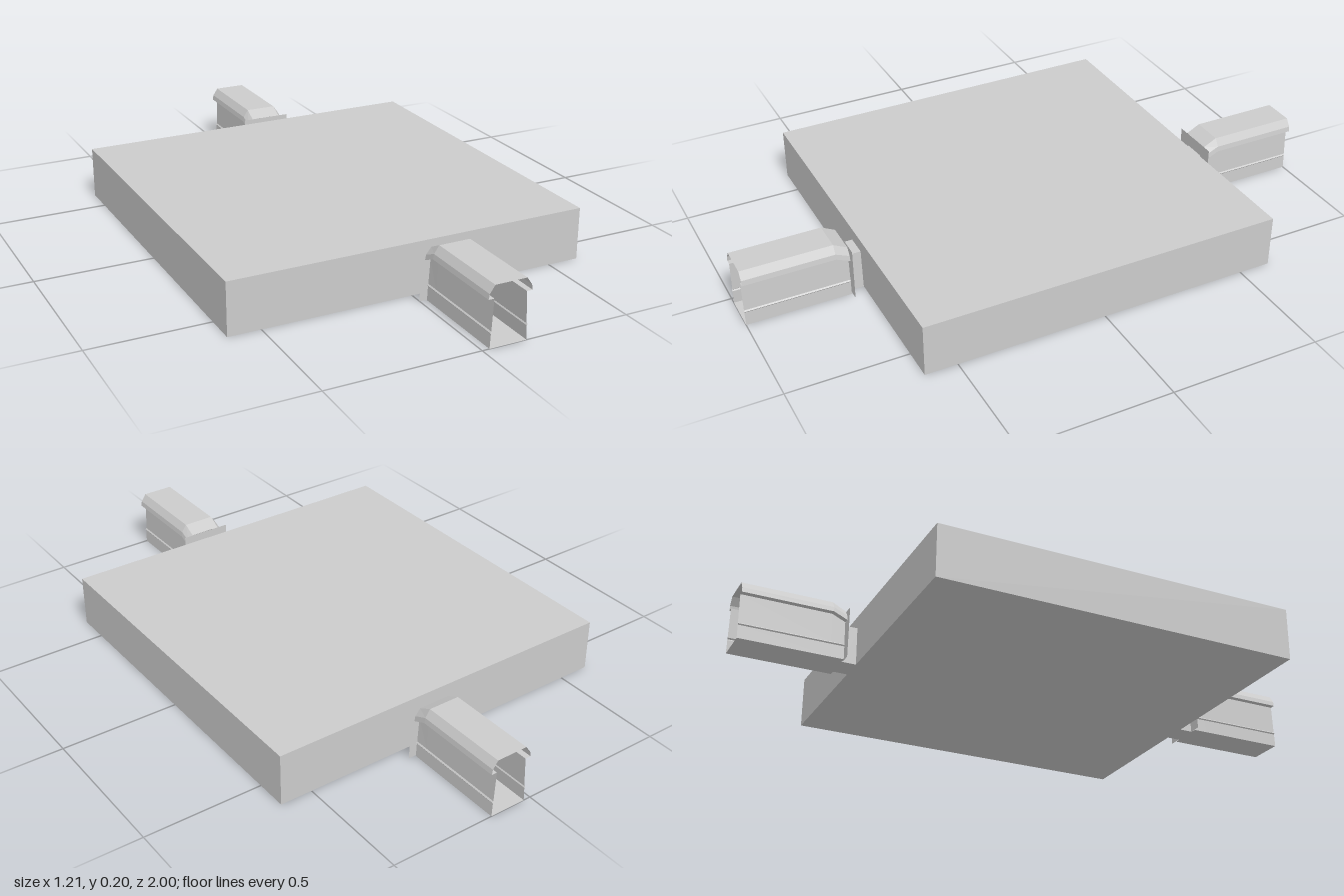
import * as THREE from 'three';

const material = new THREE.MeshStandardMaterial({ color: 0xcccccc, flatShading: true, side: THREE.DoubleSide });
const AXIS = 0.086; // the cars run along z at this x

function mesh(geometry, name) {
  const m = new THREE.Mesh(geometry, material);
  m.name = name;
  return m;
}

// Half of the car's cross-section: [half width, height, drop at the tapered end]
const half = [
  [0.062, 0, 0], [0.06, 0.046, 0], [0.063, 0.05, 0], [0.059, 0.054, 0],
  [0.054, 0.155, 0.02], [0.073, 0.155, 0.02], [0.07, 0.172, 0.02], [0.053, 0.197, 0.023],
];
const loop = [...half, ...half.map(([x, y, d]) => [-x, y, d]).reverse()];

// Open-ended shell skinned over three cross-sections
function shellGeometry() {
  const rings = [[0.655, 1], [0.7, 0], [1, 0]];
  const n = loop.length, positions = [], index = [];
  for (const [z, taper] of rings)
    for (const [x, y, drop] of loop) positions.push(x, y - drop * taper, z);
  for (let r = 0; r < rings.length - 1; r++)
    for (let i = 0; i < n; i++) {
      const a = r * n + i, b = r * n + (i + 1) % n, c = a + n, d = b + n;
      index.push(a, b, d, a, d, c);
    }
  const g = new THREE.BufferGeometry();
  g.setAttribute('position', new THREE.Float32BufferAttribute(positions, 3));
  g.setIndex(index);
  const flat = g.toNonIndexed();
  flat.computeVertexNormals();
  return flat;
}

function createCar(name) {
  const car = new THREE.Group();
  car.name = name;
  car.add(mesh(shellGeometry(), 'carShell'));

  // Thin plate closing the inner end
  const plate = mesh(new THREE.PlaneGeometry(0.172, 0.175), 'endPlate');
  plate.position.set(0, 0.0875, 0.652);
  car.add(plate);

  // Narrow passage joining the car to the slab
  const profile = new THREE.Shape([
    [-0.042, 0], [0.042, 0], [0.036, 0.132], [-0.036, 0.132],
  ].map(([x, y]) => new THREE.Vector2(x, y)));
  const passage = mesh(new THREE.ExtrudeGeometry(profile, { depth: 0.055, bevelEnabled: false }), 'passage');
  passage.position.z = 0.6;
  car.add(passage);
  return car;
}

export function createModel() {
  const model = new THREE.Group();
  model.name = 'slabWithCars';

  // Square slab
  const slab = mesh(new THREE.BoxGeometry(1.214, 0.175, 1.214), 'slab');
  slab.position.y = 0.0875;
  model.add(slab);

  // One car at the front, one turned round at the back
  for (const [name, turn] of [['frontCar', 0], ['backCar', Math.PI]]) {
    const car = createCar(name);
    car.position.x = AXIS;
    car.rotation.y = turn;
    model.add(car);
  }
  return model;
}
